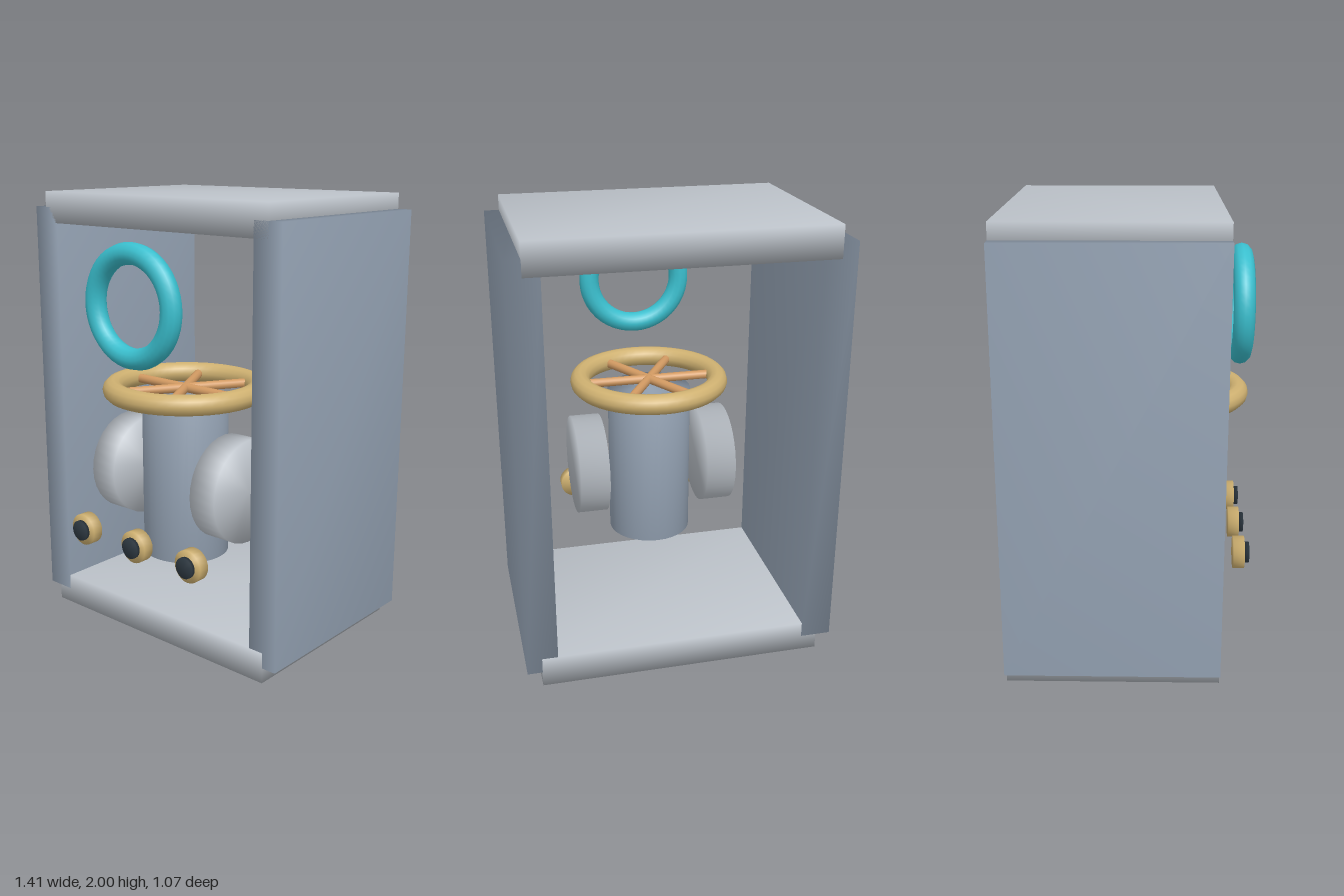
import * as THREE from 'three';
import { mergeVertices } from 'three/addons/utils/BufferGeometryUtils.js';

const paint = (name, color) => {
  const m = new THREE.MeshStandardMaterial({ color });
  m.name = name;
  return m;
};

// Welds corners so that shading flows smoothly over every edge
function soften(geometry) {
  geometry.deleteAttribute('normal');
  geometry.deleteAttribute('uv');
  const welded = mergeVertices(geometry, 1e-4);
  welded.computeVertexNormals();
  return welded;
}

export function createModel() {
  const model = new THREE.Group();
  model.name = 'valveCabinet';

  const silver = paint('silver', 0xbcc2c9);
  const steel = paint('steel', 0x94a2b3);
  const teal = paint('teal', 0x3abfce);
  const brass = paint('brass', 0xcfb171);
  const copper = paint('copper', 0xd29a62);
  const dark = paint('dark', 0x2e3942);

  const add = (name, geometry, material, x, y, z, parent = model) => {
    const mesh = new THREE.Mesh(geometry, material);
    mesh.name = name;
    mesh.position.set(x, y, z);
    parent.add(mesh);
    return mesh;
  };
  const cylinder = (r, h, sides = 32) => soften(new THREE.CylinderGeometry(r, r, h, sides));

  // Open frame: floor, roof and two side walls
  const depth = 0.93, frameZ = -0.07;
  const slab = soften(new THREE.BoxGeometry(1.28, 0.14, depth));
  add('floor', slab, silver, 0, 0.07, frameZ);
  add('roof', slab, silver, 0, 1.93, frameZ);
  const wall = soften(new THREE.BoxGeometry(0.138, 1.86, depth));
  for (const side of [-1, 1]) {
    add(side > 0 ? 'leftWall' : 'rightWall', wall, steel, side * 0.638, 1, frameZ);
  }

  // Central tank with a disc on each side
  const axisZ = 0.163;
  add('tank', cylinder(0.196, 0.73), steel, 0, 0.74, axisZ);
  const disc = cylinder(0.235, 0.138).rotateZ(Math.PI / 2);
  for (const side of [-1, 1]) {
    add(side > 0 ? 'leftDisc' : 'rightDisc', disc, silver, side * 0.304, 0.735, axisZ);
  }

  // Hand wheel lying flat above the tank, three bars making six spokes
  const wheel = new THREE.Group();
  wheel.name = 'handWheel';
  wheel.position.set(0, 1.145, axisZ);
  model.add(wheel);
  add('wheelRim', new THREE.TorusGeometry(0.325, 0.047, 12, 48).rotateX(Math.PI / 2), brass, 0, 0, 0, wheel);
  const bar = cylinder(0.021, 0.64, 12).rotateZ(Math.PI / 2);
  for (let i = 0; i < 3; i++) {
    add('spokeBar', bar, copper, 0, 0, 0, wheel).rotation.y = (i * Math.PI) / 3;
  }

  // Upright ring at the front
  add('frontRing', new THREE.TorusGeometry(0.222, 0.047, 12, 48), teal, 0, 1.55, 0.488);

  // Row of knobs with dark caps
  const knob = cylinder(0.073, 0.05, 24).rotateX(Math.PI / 2);
  const cap = cylinder(0.047, 0.016, 24).rotateX(Math.PI / 2);
  for (const x of [-0.325, 0, 0.325]) {
    add('knob', knob, brass, x, 0.48, 0.488);
    add('knobCap', cap, dark, x, 0.48, 0.527);
  }

  return model;
}
